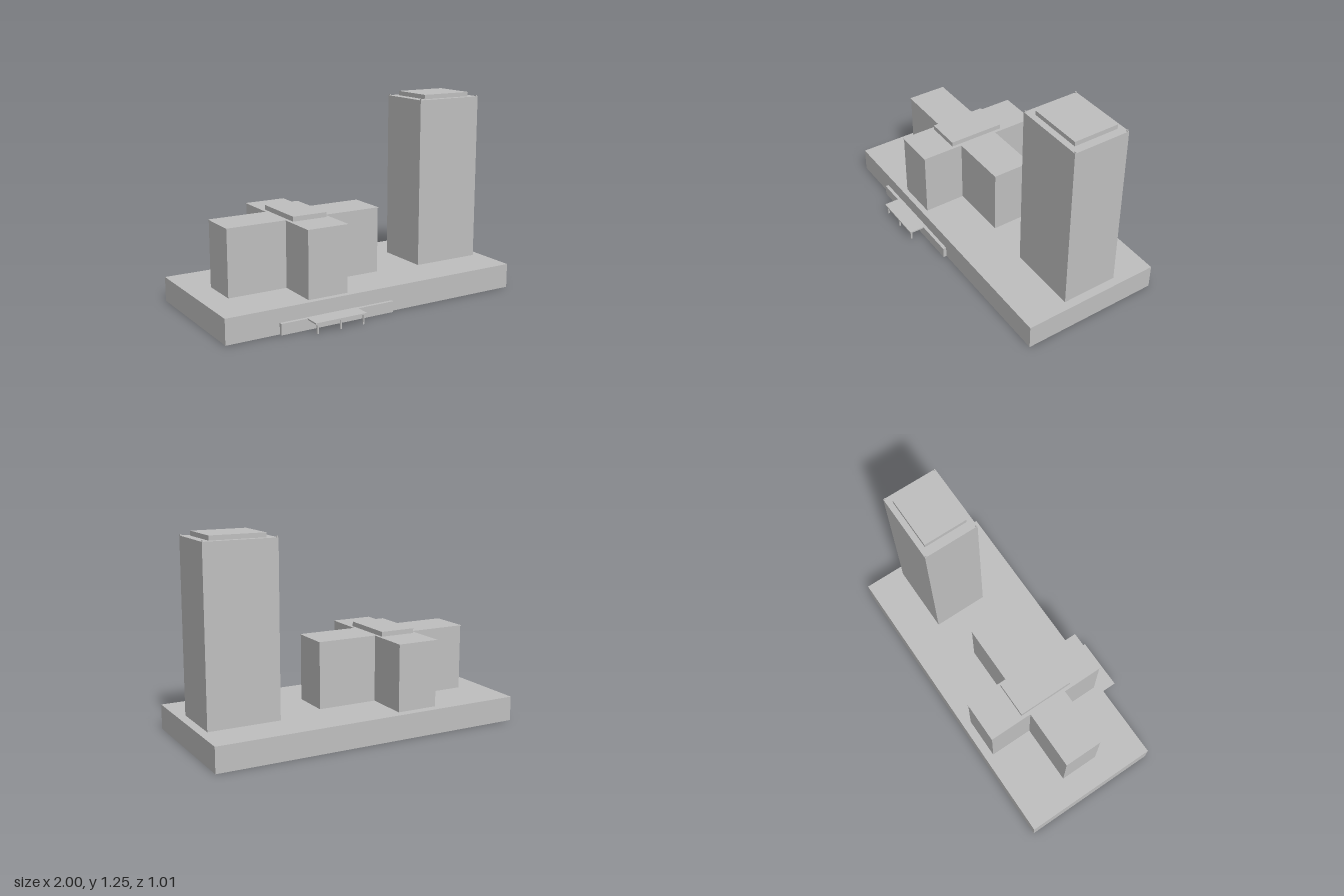
import * as THREE from 'three';

export function createModel() {
  const model = new THREE.Group();
  model.name = 'buildingComplex';
  const grey = new THREE.MeshStandardMaterial({ color: 0xc0c0c0, side: THREE.DoubleSide });
  grey.name = 'plain grey';

  function add(name, geometry) {
    const mesh = new THREE.Mesh(geometry, grey);
    mesh.name = name;
    model.add(mesh);
    return mesh;
  }

  // Box given by its limits on each axis
  function block(name, [x0, x1], [y0, y1], [z0, z1]) {
    const mesh = add(name, new THREE.BoxGeometry(x1 - x0, y1 - y0, z1 - z0));
    mesh.position.set((x0 + x1) / 2, (y0 + y1) / 2, (z0 + z1) / 2);
    return mesh;
  }

  // Cross-shaped slab, optionally grown outward by a margin
  function cross(name, y0, y1, m) {
    const [ax0, ax1, az0, az1] = [-0.839 - m, 0.189 + m, -0.167 - m, 0.083 + m];
    const [bx0, bx1, bz0, bz1] = [-0.458 - m, -0.196 + m, -0.449 - m, 0.352 + m];
    const plan = [
      [ax0, az0], [bx0, az0], [bx0, bz0], [bx1, bz0], [bx1, az0], [ax1, az0],
      [ax1, az1], [bx1, az1], [bx1, bz1], [bx0, bz1], [bx0, az1], [ax0, az1],
    ];
    const shape = new THREE.Shape(plan.map(([x, z]) => new THREE.Vector2(x, -z)));
    const geometry = new THREE.ExtrudeGeometry(shape, { depth: y1 - y0, bevelEnabled: false });
    geometry.rotateX(-Math.PI / 2);
    add(name, geometry).position.y = y0;
  }

  // Podium: a shell open underneath
  const podium = block('podium', [-1, 1], [0, 0.155], [-0.504, 0.388]);
  const faces = Array.from(podium.geometry.index.array);
  faces.splice(18, 6); // drop the bottom face
  podium.geometry.setIndex(faces);
  podium.geometry.clearGroups();

  // Cross-shaped block with a slightly projecting roof
  cross('crossBlock', 0.155, 0.566, 0);
  cross('crossRoof', 0.566, 0.572, 0.004);
  block('crossPlantRoom', [-0.44, -0.213], [0.572, 0.602], [-0.221, 0.14]);

  // Tower with plant room and small corner posts
  block('tower', [0.492, 0.946], [0.155, 1.222], [-0.255, 0.104]);
  block('towerPlantRoom', [0.55, 0.894], [1.222, 1.25], [-0.219, 0.066]);
  for (const x of [0.498, 0.94]) {
    for (const z of [-0.247, 0.097]) {
      block('towerCornerPost', [x - 0.004, x + 0.004], [1.222, 1.231], [z - 0.004, z + 0.004]);
    }
  }

  // Entrance front, canopy and its posts
  block('entranceFront', [-0.666, 0.092], [0, 0.068], [0.388, 0.409]);
  block('canopy', [-0.496, -0.157], [0.06, 0.069], [0.388, 0.504]);
  for (const x of [-0.48, -0.326, -0.173]) {
    block('canopyPost', [x - 0.005, x + 0.005], [0, 0.06], [0.486, 0.496]);
  }

  return model;
}
